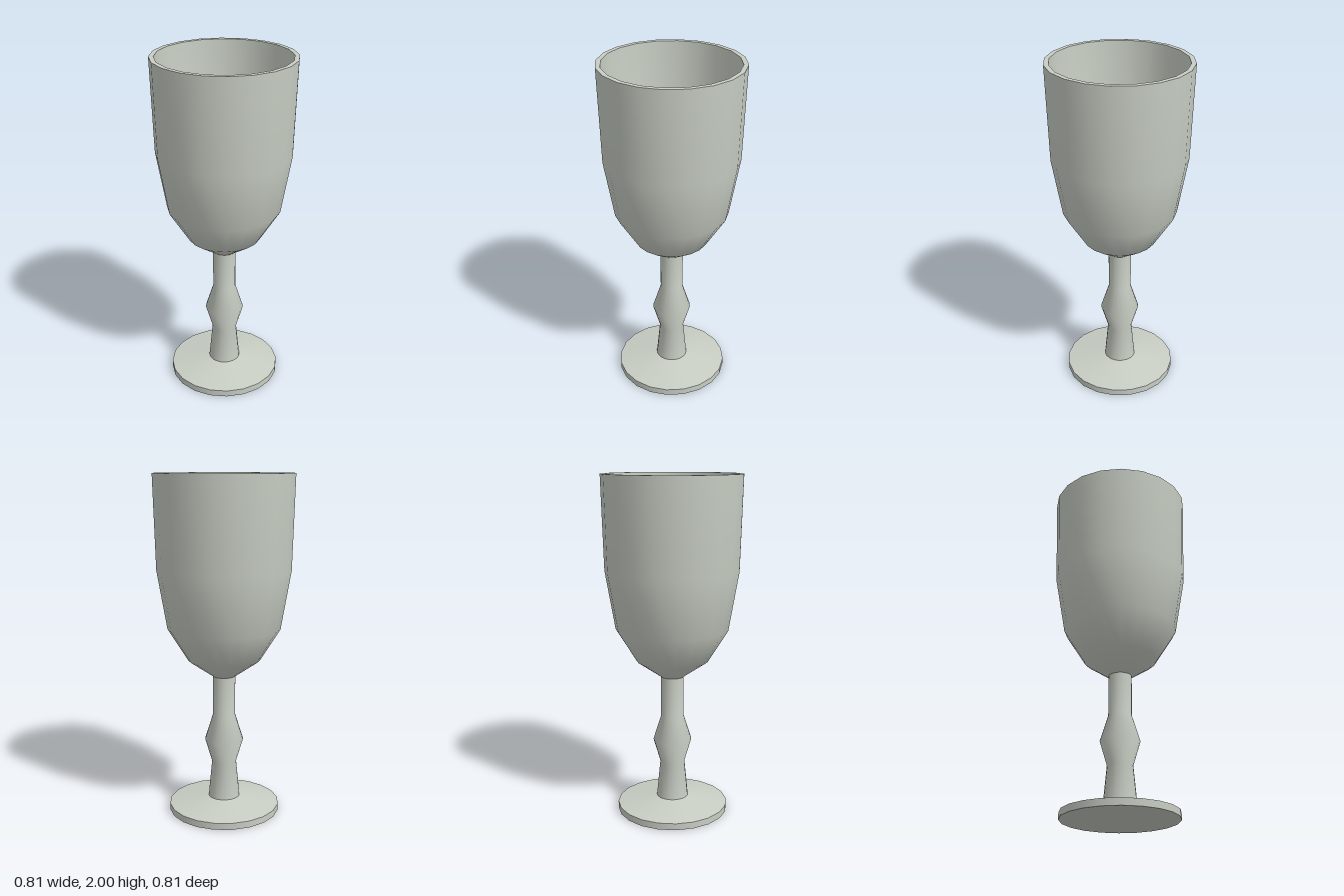
import * as THREE from 'three';

const SIDES = 20;

export function createModel() {
  const goblet = new THREE.Group();
  goblet.name = 'goblet';

  const pewter = new THREE.MeshStandardMaterial({ color: 0xc8cec4 });
  pewter.name = 'pale pewter';
  const green = new THREE.MeshStandardMaterial({ color: 0xbdcb8f });
  green.name = 'pale green';

  // Turns a profile of [radius, height] points around the y axis
  function turn(name, profile, material = pewter) {
    const points = profile.map(([r, y]) => new THREE.Vector2(r, y));
    const mesh = new THREE.Mesh(new THREE.LatheGeometry(points, SIDES), material);
    mesh.name = name;
    goblet.add(mesh);
  }

  // Foot: separate surfaces keep its edges sharp
  turn('footUnderside', [[0, 0], [0.33, 0]]);
  turn('footEdge', [[0.33, 0], [0.33, 0.04]]);
  turn('footTop', [[0.33, 0.04], [0.094, 0.08]]);

  // Stem with a swollen knop
  turn('stem', [[0.094, 0.08], [0.073, 0.3], [0.114, 0.44], [0.067, 0.59], [0.067, 0.83]]);

  // Bowl: outside, flat rim, inside
  turn('bowlOutside', [[0.067, 0.83], [0.212, 0.93], [0.33, 1.12], [0.388, 1.46], [0.403, 2]]);
  turn('bowlRim', [[0.403, 2], [0.376, 2]]);
  turn('bowlInside', [[0.376, 2], [0.35, 1.46], [0.295, 1.14], [0.19, 0.96], [0, 0.87]]);

  // Drink surface
  turn('drink', [[0.361, 1.69], [0, 1.69]], green);

  return goblet;
}
